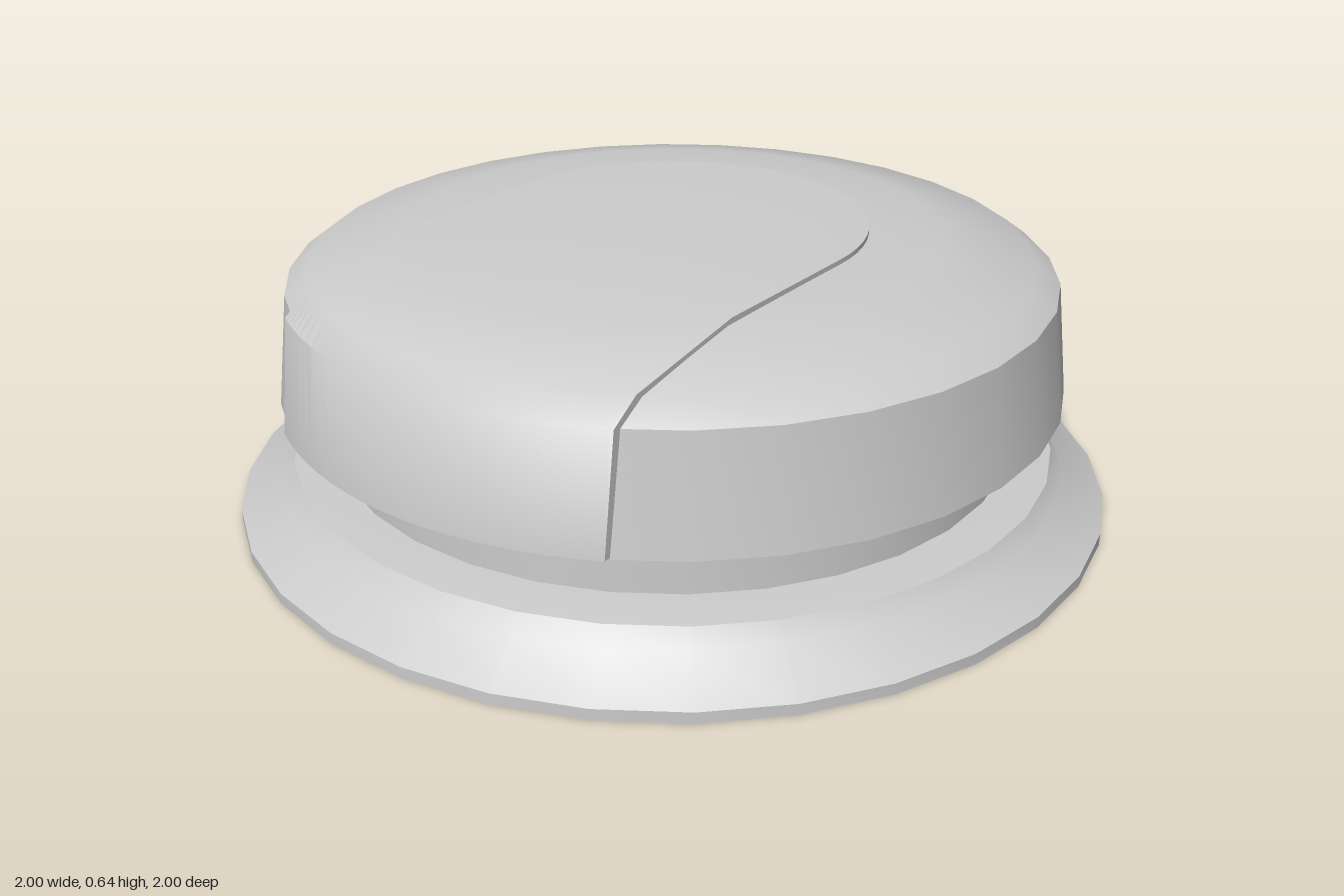
import * as THREE from 'three';
import { toCreasedNormals } from 'three/addons/utils/BufferGeometryUtils.js';

const SIDES = 32;
const CREASE = 0.8;
const material = new THREE.MeshStandardMaterial({ color: 0xcccccc });

function addMesh(group, name, geometry) {
  const mesh = new THREE.Mesh(toCreasedNormals(geometry, CREASE), material);
  mesh.name = name;
  group.add(mesh);
}

// Round part from a [radius, height] profile, listed from bottom to top
function turned(profile) {
  const points = profile.map(([r, y]) => new THREE.Vector2(r, y));
  return new THREE.LatheGeometry(points, SIDES, Math.PI / SIDES);
}

// Raised tongue: slices along z that follow the cap from a round end to the rim
function tongueGeometry() {
  const halfWidth = 0.44, slices = 32;
  const outer = [[0.59, 0.638], [0.82, 0.585], [0.877, 0.54], [0.905, 0.283]];
  const inner = [[0.57, 0.605], [0.79, 0.56], [0.84, 0.52], [0.87, 0.283]];
  const positions = [], index = [];
  const count = 2 * (outer.length + 1);
  for (let j = 0; j <= slices; j++) {
    const z = -halfWidth * Math.cos((j / slices) * Math.PI);
    const tip = Math.sqrt(Math.max(0, halfWidth ** 2 - z * z));
    const path = (rim, top) => [[tip, top], ...rim.map(([r, y]) => [-Math.sqrt(r * r - z * z), y])];
    const loop = [...path(outer, 0.64), ...path(inner, 0.605).reverse()];
    for (const [x, y] of loop) positions.push(x, y, z);
  }
  for (let j = 0; j < slices; j++) {
    for (let k = 0; k < count; k++) {
      const n = (k + 1) % count;
      const a = j * count + k, b = j * count + n;
      index.push(a, b, b + count, a, b + count, a + count);
    }
  }
  // Side walls at both ends of the slices
  const last = slices * count;
  for (let k = 0; k < outer.length; k++) {
    const a = k, b = k + 1, c = count - 2 - k, d = count - 1 - k;
    index.push(last + a, last + b, last + c, last + a, last + c, last + d);
    index.push(a, c, b, a, d, c);
  }
  const geometry = new THREE.BufferGeometry();
  geometry.setAttribute('position', new THREE.Float32BufferAttribute(positions, 3));
  geometry.setIndex(index);
  return geometry;
}

export function createModel() {
  const group = new THREE.Group();
  group.name = 'knob';

  // Flared foot with a thin rim
  addMesh(group, 'base', turned([
    [0, 0], [1.004, 0], [1.004, 0.025], [0.905, 0.092], [0.878, 0.13], [0.78, 0.14], [0, 0.14],
  ]));

  // Recessed neck
  addMesh(group, 'neck', turned([[0.78, 0.135], [0.78, 0.285]]));

  // Rounded cap with an overhanging skirt
  addMesh(group, 'cap', turned([
    [0, 0.28], [0.894, 0.28], [0.864, 0.535], [0.81, 0.575], [0.6, 0.625], [0.4, 0.63], [0, 0.63],
  ]));

  // Tongue running over the top and down the right side
  addMesh(group, 'tongue', tongueGeometry());

  return group;
}
